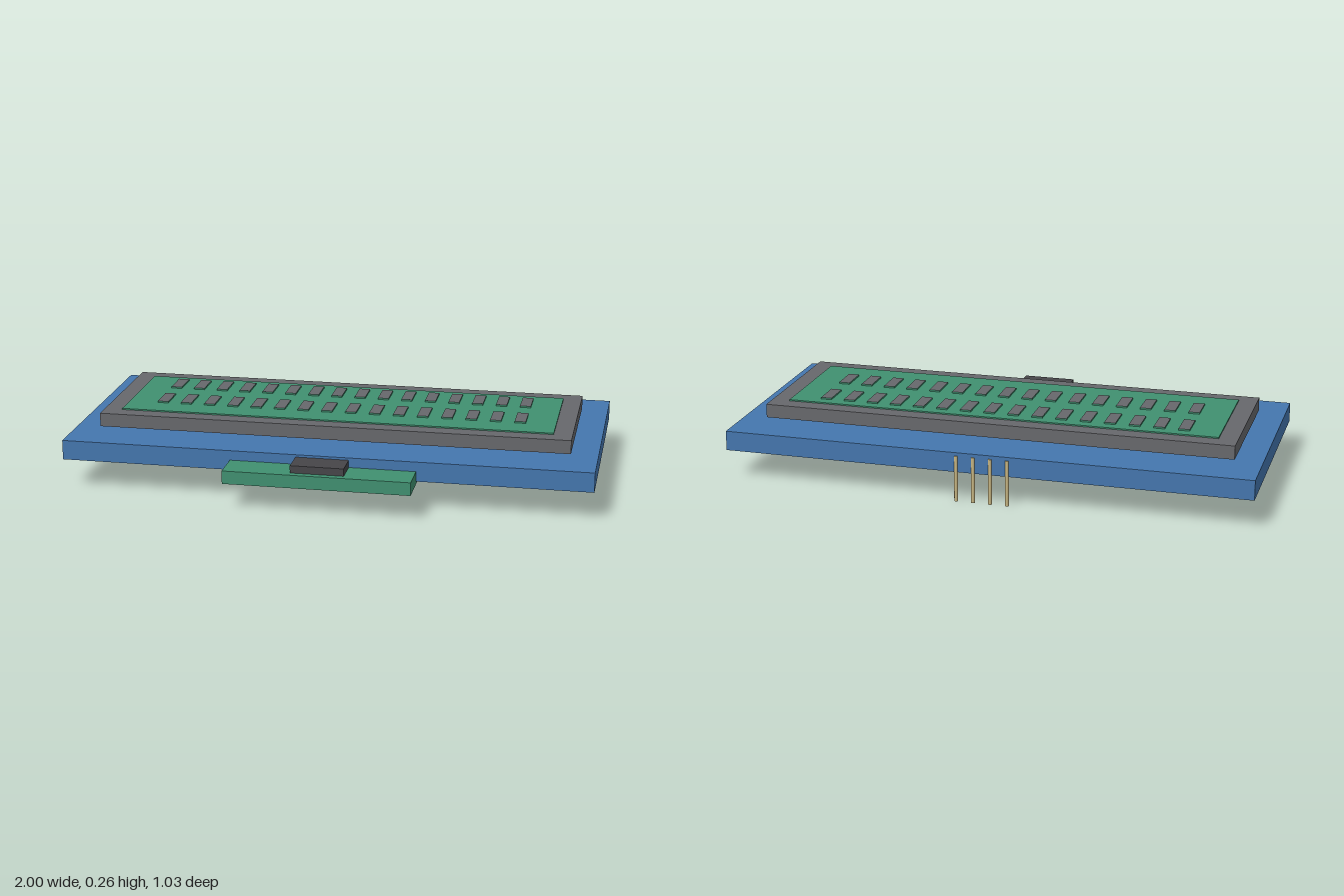
import * as THREE from 'three';

export function createModel() {
  const group = new THREE.Group();
  const mat = (name, color) => {
    const m = new THREE.MeshStandardMaterial({ color });
    m.name = name;
    return m;
  };
  const blue = mat('board blue', 0x4476ae);
  const grey = mat('bezel grey', 0x67686c);
  const green = mat('screen green', 0x409070);
  const dark = mat('chip charcoal', 0x464549);
  const gold = mat('pin gold', 0xc8b683);

  // Box given by its extents on each axis
  const box = (name, material, [x0, x1], [y0, y1], [z0, z1]) => {
    const mesh = new THREE.Mesh(new THREE.BoxGeometry(x1 - x0, y1 - y0, z1 - z0), material);
    mesh.position.set((x0 + x1) / 2, (y0 + y1) / 2, (z0 + z1) / 2);
    mesh.name = name;
    group.add(mesh);
  };

  // Circuit board with the display floating just above it
  box('circuitBoard', blue, [-1, 1], [0.113, 0.188], [-0.508, 0.39]);
  box('displayBezel', grey, [-0.9, 0.9], [0.2, 0.252], [-0.347, 0.229]);
  box('displayScreen', green, [-0.83, 0.83], [0.25, 0.257], [-0.284, 0.168]);

  // Two rows of sixteen character cells: grey tops, green sides
  const cell = [green, green, grey, green, green, green];
  for (const z of [-0.188, 0.012]) {
    for (let i = 0; i < 16; i++) {
      const x = (i - 7.5) * 0.0927;
      box('characterCell', cell, [x - 0.021, x + 0.021], [0.255, 0.263], [z - 0.056, z + 0.056]);
    }
  }

  // Interface board at the front edge with its chip
  box('interfaceBoard', green, [-0.35, 0.35], [0.101, 0.151], [0.318, 0.515]);
  box('interfaceChip', dark, [-0.1, 0.1], [0.15, 0.179], [0.34, 0.49]);

  // Four header pins on the back edge
  const pinGeometry = new THREE.CylinderGeometry(0.0075, 0.0075, 0.175, 8);
  for (let i = 0; i < 4; i++) {
    const pin = new THREE.Mesh(pinGeometry, gold);
    pin.position.set((i - 1.5) * 0.0645, 0.0875, -0.507);
    pin.name = 'headerPin';
    group.add(pin);
  }
  return group;
}
